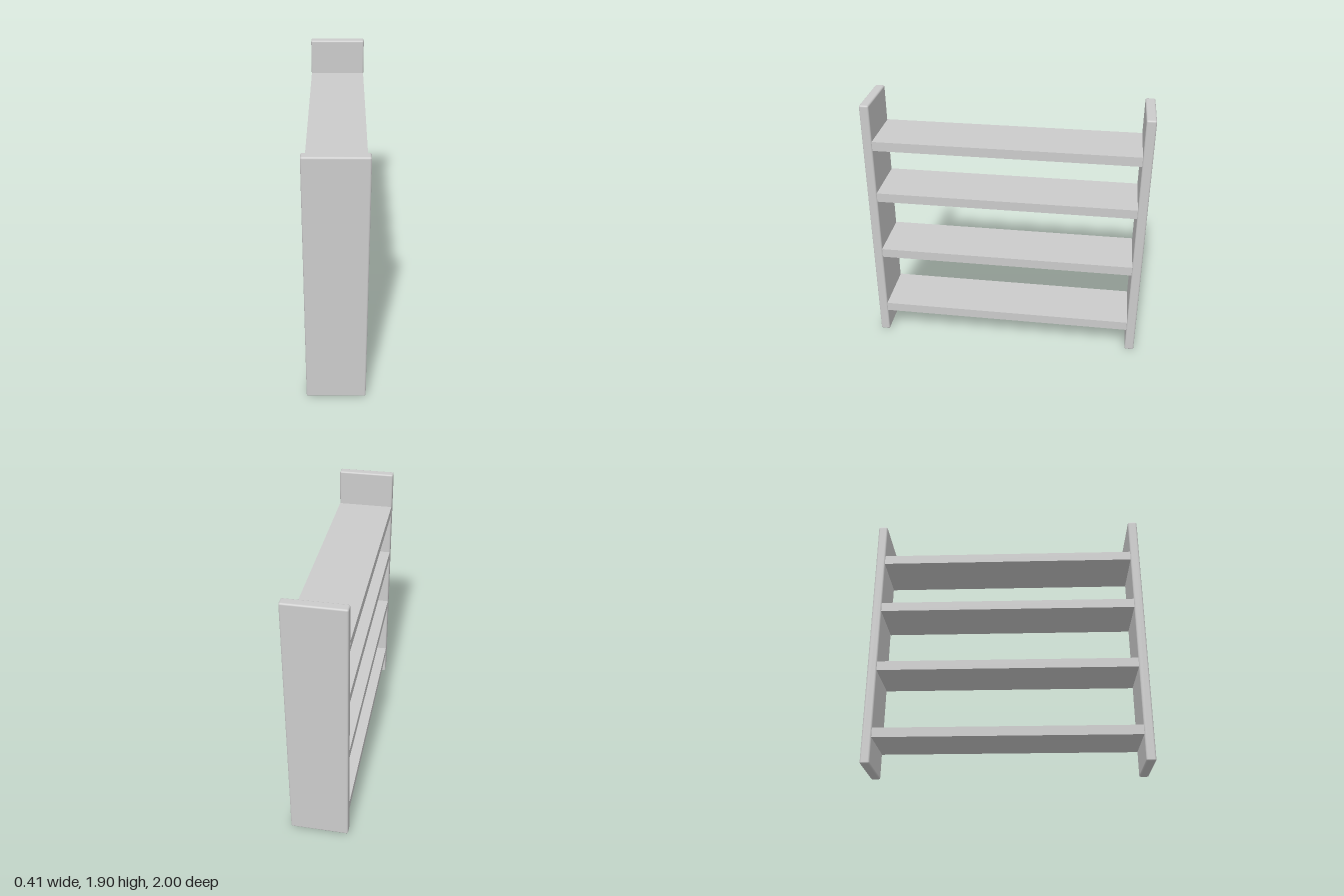
import * as THREE from 'three';
import { RoundedBoxGeometry } from 'three/addons/geometries/RoundedBoxGeometry.js';

export function createModel() {
  const group = new THREE.Group();
  const material = new THREE.MeshStandardMaterial({ color: 0xcccccc });
  const width = 0.415, height = 1.9, thickness = 0.068;

  const add = (name, geometry, y, z) => {
    const mesh = new THREE.Mesh(geometry, material);
    mesh.name = name;
    mesh.position.set(0, y, z);
    group.add(mesh);
  };

  // Upright end panels with softened edges
  const panel = new RoundedBoxGeometry(width, height, thickness, 2, 0.012);
  const panelZ = 1 - thickness / 2;
  add('frontPanel', panel, height / 2, panelZ);
  add('backPanel', panel, height / 2, -panelZ);

  // Shelves spanning between the inner faces of the panels
  const shelf = new THREE.BoxGeometry(width - 0.004, thickness, 2 - 2 * thickness);
  [0.22, 0.72, 1.195, 1.6].forEach((y, i) => add(`shelf${i + 1}`, shelf, y, 0));

  return group;
}
